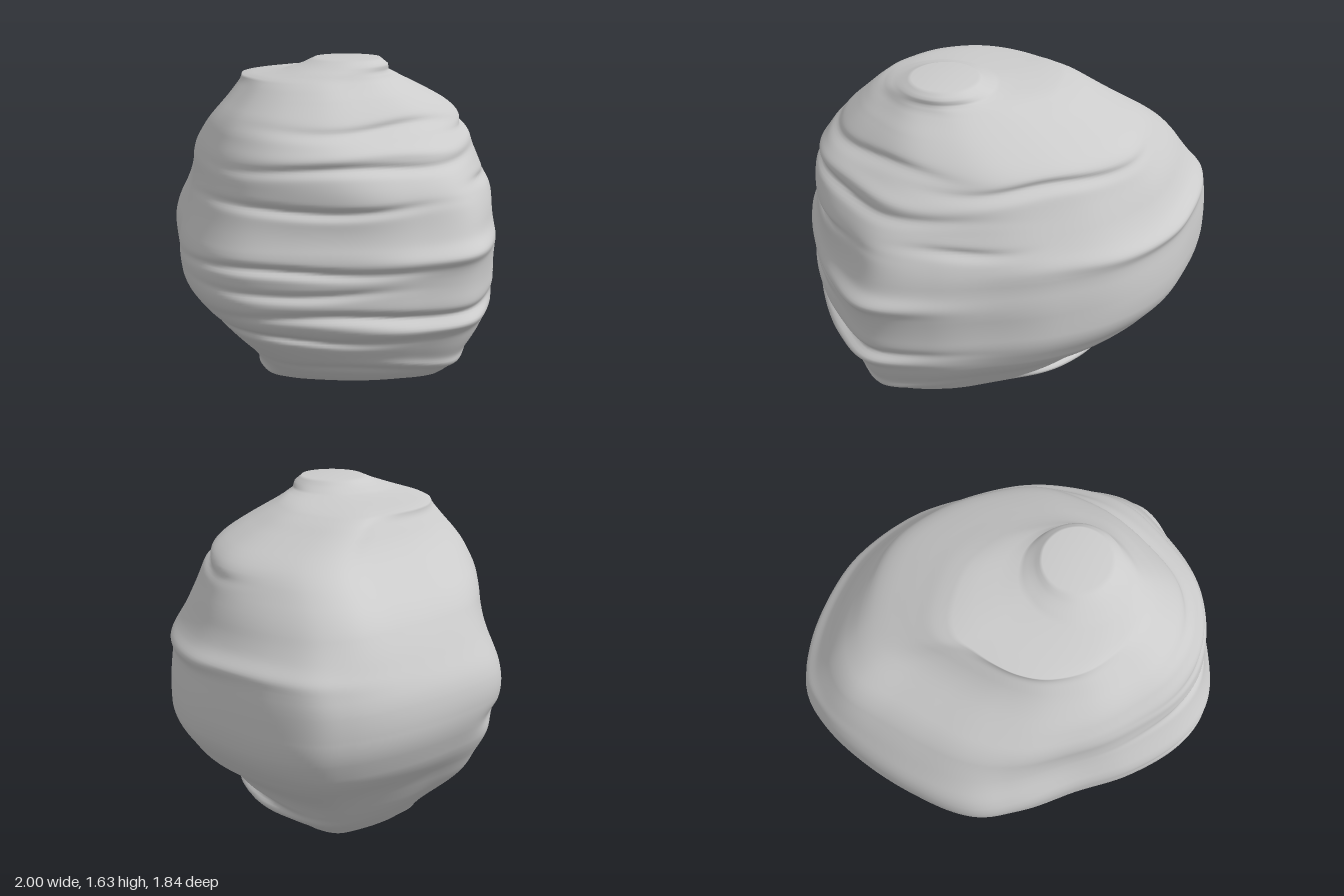
import * as THREE from 'three';

// Plan outlines as x, z in a unit box: the wide body and the rounder shoulder
const BODY = [
  [1, -0.06], [0.85, -0.35], [0.64, -0.58], [0.4, -0.79], [0.13, -0.94], [-0.25, -1],
  [-0.5, -0.95], [-0.79, -0.83], [-0.95, -0.69], [-1, -0.52], [-1, -0.22], [-0.95, 0.1],
  [-0.82, 0.45], [-0.66, 0.59], [-0.4, 0.73], [-0.12, 0.9], [0.22, 1], [0.42, 0.96],
  [0.62, 0.78], [0.82, 0.5], [0.93, 0.24],
];
const SHOULDER = [
  [1, 0.03], [0.94, -0.23], [0.78, -0.52], [0.52, -0.75], [0.18, -0.92], [-0.23, -1],
  [-0.57, -0.91], [-0.9, -0.7], [-1, -0.5], [-0.94, -0.22], [-0.88, 0.03], [-0.8, 0.32],
  [-0.62, 0.62], [-0.35, 0.84], [-0.05, 0.95], [0.27, 1], [0.6, 0.91], [0.85, 0.68], [0.97, 0.35],
];

// Extent of the rock at each height: y, xMin, xMax, zMin, zMax
const LEVELS = [
  [0, -0.47, -0.25, -0.2, 0.05], [0.015, -0.51, -0.16, -0.34, 0.2], [0.035, -0.53, 0.3, -0.41, 0.4],
  [0.1, -0.61, 0.64, -0.52, 0.46], [0.2, -0.7, 0.81, -0.56, 0.56], [0.3, -0.77, 0.88, -0.65, 0.67],
  [0.38, -0.83, 0.92, -0.77, 0.75], [0.46, -0.91, 0.95, -0.83, 0.83], [0.55, -0.95, 0.96, -0.9, 0.91],
  [0.65, -0.99, 0.95, -0.915, 0.92], [0.78, -1, 0.97, -0.91, 0.93], [0.88, -0.985, 0.93, -0.9, 0.88],
  [0.96, -0.95, 0.9, -0.9, 0.84], [1.05, -0.91, 0.86, -0.83, 0.8], [1.18, -0.84, 0.77, -0.77, 0.78],
  [1.25, -0.76, 0.73, -0.73, 0.75], [1.35, -0.62, 0.64, -0.69, 0.71], [1.4, -0.55, 0.6, -0.6, 0.66],
  [1.44, -0.51, 0.57, -0.5, 0.62], [1.5, -0.45, 0.5, -0.37, 0.56], [1.54, -0.4, 0.46, -0.26, 0.52],
  [1.57, -0.07, 0.44, -0.12, 0.42], [1.6, 0.02, 0.43, -0.09, 0.33], [1.63, 0.07, 0.39, -0.05, 0.26],
];

// Relief: height, direction in degrees, angular width, half height, depth (negative bulges out)
const RELIEF = [
  // cracks between the strata
  [0.23, 35, 36, 0.025, 0.03], [0.4, 58, 28, 0.022, 0.045], [0.52, 25, 36, 0.025, 0.05],
  [0.64, 50, 22, 0.02, 0.025], [0.74, 50, 30, 0.022, 0.04], [1.01, 48, 30, 0.022, 0.035],
  [1.06, -30, 16, 0.022, 0.025], [1.18, 25, 42, 0.022, 0.03], [1.34, 15, 35, 0.025, 0.045],
  [1.3, -60, 40, 0.025, 0.05], [0.15, -90, 32, 0.025, 0.09],
  // ledges standing out
  [0.79, 0, 22, 0.04, -0.035], [0.46, 10, 30, 0.035, -0.035], [0.96, -105, 35, 0.035, -0.03],
  [1.24, 10, 40, 0.03, -0.025], [0.1, -100, 30, 0.03, -0.05], [0.25, 5, 32, 0.03, -0.035],
  // pits in the smooth face
  [0.5, 112, 9, 0.06, 0.045], [0.6, 149, 9, 0.06, 0.035],
  // broad swells
  [1.12, 45, 35, 0.2, -0.065], [0.28, 133, 28, 0.15, -0.12],
];

function extentsAt(y) {
  let i = 0;
  while (i < LEVELS.length - 2 && LEVELS[i + 1][0] < y) i++;
  const a = LEVELS[i], b = LEVELS[i + 1];
  const t = (y - a[0]) / (b[0] - a[0]);
  return a.map((v, k) => THREE.MathUtils.lerp(v, b[k], t));
}

// Average over a short span of heights, so the sides curve smoothly
function smoothExtents(y) {
  const span = Math.max(0, Math.min(0.045, y - 0.035, (1.54 - y) * 0.5));
  const samples = [-1, -0.5, 0, 0.5, 1].map((d) => extentsAt(y + d * span));
  return samples[0].map((_, k) => samples.reduce((sum, s) => sum + s[k], 0) / samples.length);
}

function relief(angle, y) {
  let s = 1;
  for (const [ry, deg, width, height, depth] of RELIEF) {
    const turn = angle - THREE.MathUtils.degToRad(deg);
    const d = Math.atan2(Math.sin(turn), Math.cos(turn)) / THREE.MathUtils.degToRad(width);
    const h = (y - ry - 0.012 * Math.sin(angle * 5 + ry * 20)) / height;
    s -= depth * Math.exp(-h * h - d * d);
  }
  return s + 0.004 * Math.sin(angle * 7 + y * 5) * Math.sin(y * 9 - angle * 3);
}

function outlineRing(points, sides) {
  const curve = new THREE.CatmullRomCurve3(points.map(([x, z]) => new THREE.Vector3(x, 0, z)), true);
  return curve.getSpacedPoints(sides).slice(0, sides);
}

function rockGeometry(sides = 180) {
  const body = outlineRing(BODY, sides), shoulder = outlineRing(SHOULDER, sides);

  // Heights: every listed level plus even steps between
  const heights = [];
  for (let i = 0; i < LEVELS.length - 1; i++) {
    const y0 = LEVELS[i][0], y1 = LEVELS[i + 1][0];
    const n = Math.ceil((y1 - y0) / 0.011);
    for (let k = 0; k < n; k++) heights.push(y0 + (y1 - y0) * k / n);
  }
  heights.push(1.63);

  const pos = [], index = [], p = new THREE.Vector3(), circle = new THREE.Vector3();
  for (const y of heights) {
    const [, x0, x1, z0, z1] = smoothExtents(y);
    const upper = THREE.MathUtils.smoothstep(y, 0.85, 1.35);
    const round = THREE.MathUtils.smoothstep(y, 1.5, 1.6);
    for (let i = 0; i < sides; i++) {
      p.lerpVectors(body[i], shoulder[i], upper);
      const angle = Math.atan2(p.z, p.x);
      p.lerp(circle.set(Math.cos(angle), 0, Math.sin(angle)), round);
      const s = relief(angle, y) / 2;
      pos.push((x0 + x1) / 2 + p.x * s * (x1 - x0), y, (z0 + z1) / 2 + p.z * s * (z1 - z0));
    }
  }
  // The outline runs from +x towards -z, anticlockwise seen from above
  for (let r = 0; r < heights.length - 1; r++) {
    for (let i = 0; i < sides; i++) {
      const a = r * sides + i, b = r * sides + (i + 1) % sides;
      index.push(a, b, b + sides, a, b + sides, a + sides);
    }
  }
  // Close the bottom and the summit
  const bottom = pos.length / 3, top = bottom + 1, last = (heights.length - 1) * sides;
  pos.push(-0.36, 0, -0.075, 0.23, 1.634, 0.105);
  for (let i = 0; i < sides; i++) {
    const j = (i + 1) % sides;
    index.push(bottom, j, i, top, last + i, last + j);
  }
  const g = new THREE.BufferGeometry();
  g.setAttribute('position', new THREE.Float32BufferAttribute(pos, 3));
  g.setIndex(index);
  g.computeVertexNormals();
  return g;
}

export function createModel() {
  const group = new THREE.Group();
  group.name = 'boulder';
  const rock = new THREE.Mesh(rockGeometry(), new THREE.MeshStandardMaterial({ color: 0xcccccc }));
  rock.name = 'layeredRock';
  group.add(rock);
  return group;
}
